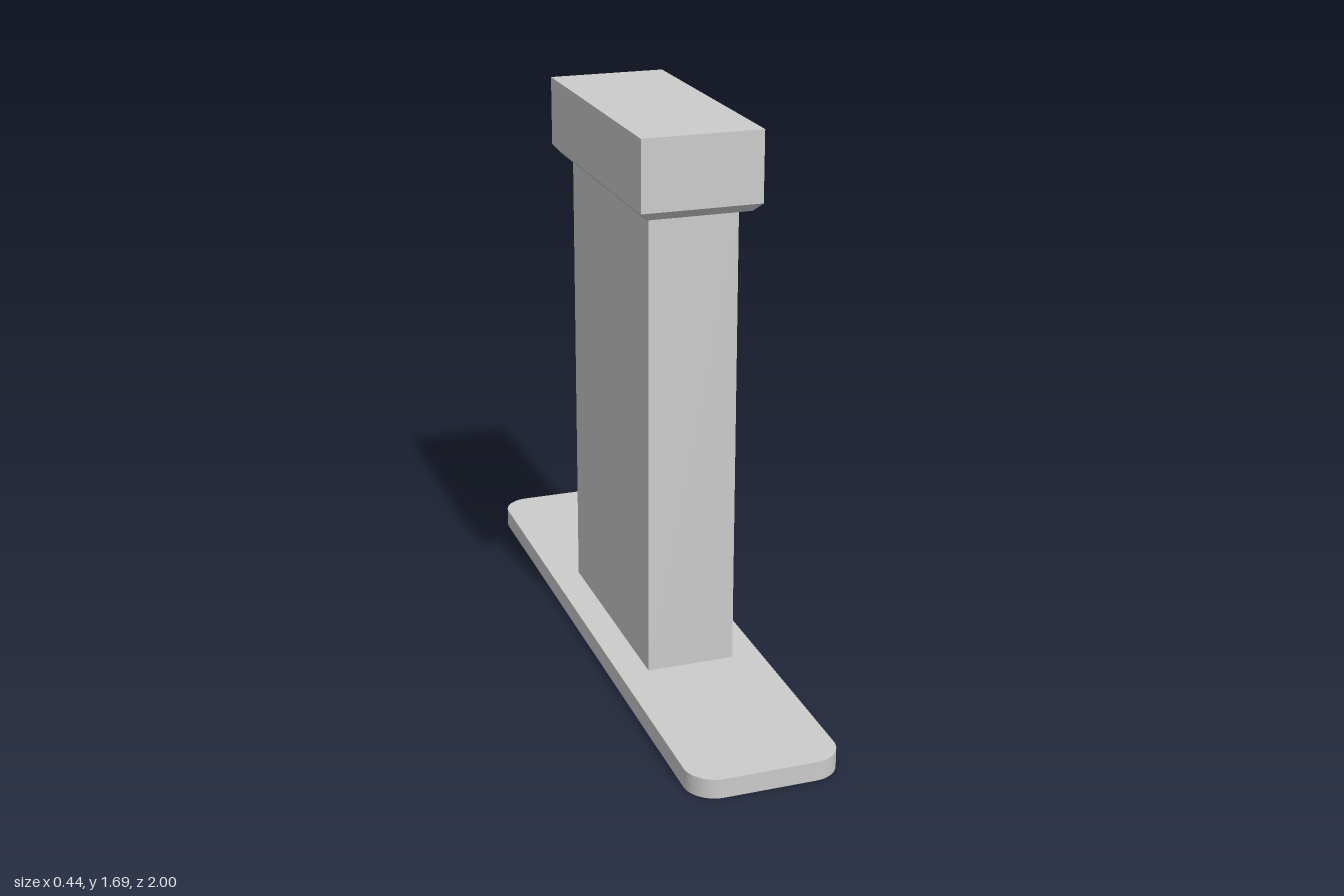
import * as THREE from 'three';

const material = new THREE.MeshStandardMaterial({ color: 0xcccccc });

function part(name, geometry) {
  const mesh = new THREE.Mesh(geometry, material);
  mesh.name = name;
  return mesh;
}

// Flat plate with rounded corners, lying on y = 0
function basePlate(halfX, halfZ, height, r) {
  const shape = new THREE.Shape();
  const cx = halfX - r, cz = halfZ - r;
  shape.absarc(cx, cz, r, 0, Math.PI / 2);
  shape.absarc(-cx, cz, r, Math.PI / 2, Math.PI);
  shape.absarc(-cx, -cz, r, Math.PI, Math.PI * 1.5);
  shape.absarc(cx, -cz, r, Math.PI * 1.5, Math.PI * 2);
  shape.closePath();
  const geometry = new THREE.ExtrudeGeometry(shape, { depth: height, bevelEnabled: false, curveSegments: 8 });
  return geometry.rotateX(-Math.PI / 2);
}

// Block whose lower edge is chamfered inwards
function chamferedBlock(halfX, halfZ, bottom, shoulder, top, inset) {
  const box = new THREE.BoxGeometry(2 * halfX, 2, 2 * halfZ, 1, 2, 1);
  const p = box.attributes.position;
  for (let i = 0; i < p.count; i++) {
    const row = Math.round(p.getY(i)) + 1;
    const cut = row === 0 ? inset : 0;
    p.setXYZ(i,
      Math.sign(p.getX(i)) * (halfX - cut),
      [bottom, shoulder, top][row],
      Math.sign(p.getZ(i)) * (halfZ - cut));
  }
  const geometry = box.toNonIndexed();
  geometry.computeVertexNormals();
  return geometry;
}

export function createModel() {
  const group = new THREE.Group();
  group.name = 'pedestal';

  const baseTop = 0.058, capBottom = 1.457;

  group.add(part('base', basePlate(0.222, 1, baseTop, 0.088)));

  // Rectangular column between base and cap
  const column = part('column', new THREE.BoxGeometry(0.266, capBottom - baseTop, 0.714));
  column.position.y = (baseTop + capBottom) / 2;
  group.add(column);

  group.add(part('cap', chamferedBlock(0.178, 0.428, capBottom, 1.482, 1.69, 0.023)));

  return group;
}
